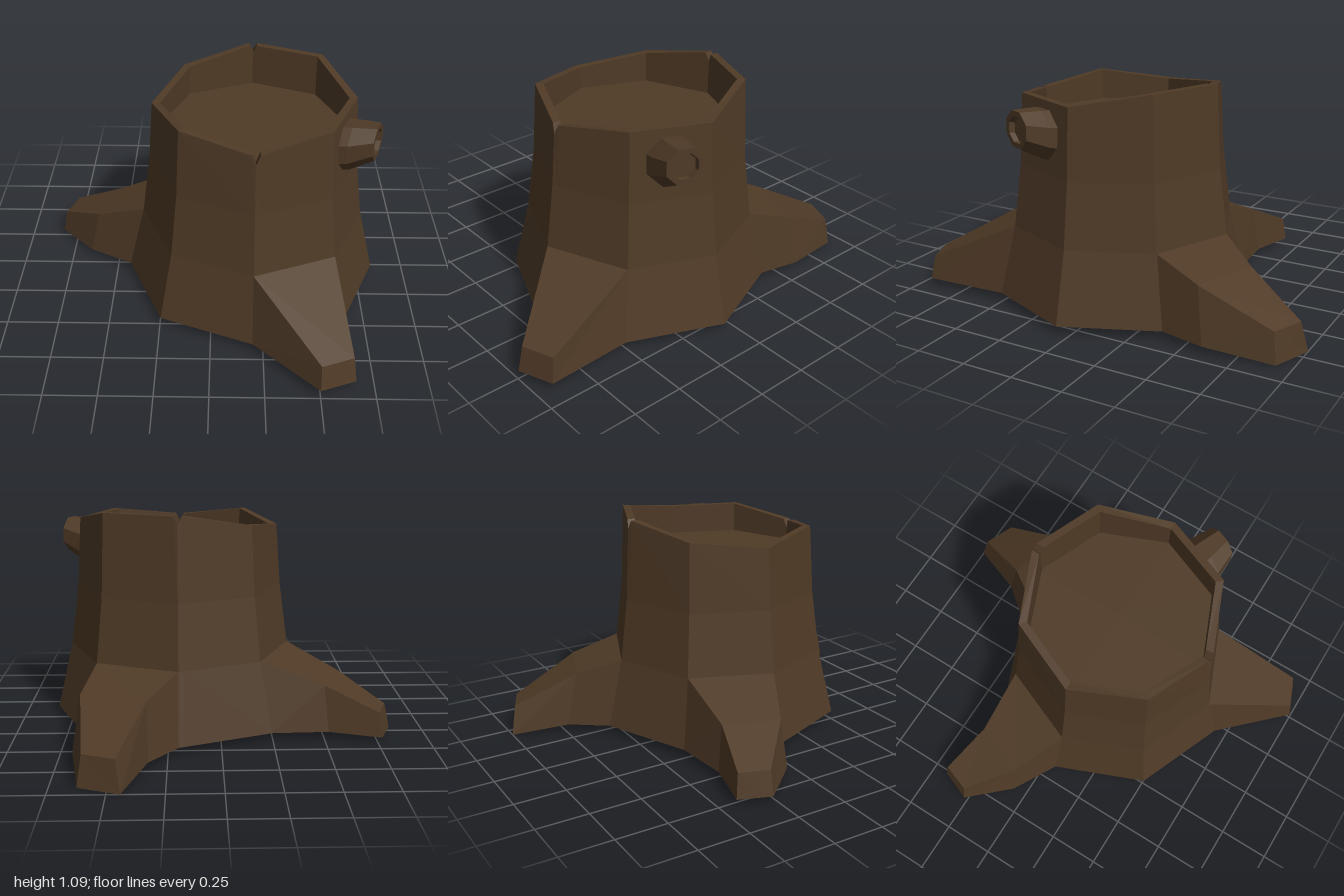
import * as THREE from 'three';

const CX = 0.2, CZ = 0.06; // trunk axis

// Flat-faced skin over a list of closed rings, each ring clockwise seen from the last one
function loft(rings) {
  const pos = [];
  const tri = (a, b, c) => {
    const n = b.clone().sub(a).cross(c.clone().sub(a));
    if (n.length() > 1e-8) pos.push(...a.toArray(), ...b.toArray(), ...c.toArray());
  };
  for (let i = 0; i < rings.length - 1; i++) {
    const n = rings[i].length;
    for (let j = 0; j < n; j++) {
      const k = (j + 1) % n;
      const a = rings[i][j], b = rings[i][k], c = rings[i + 1][k], d = rings[i + 1][j];
      tri(a, d, c);
      tri(a, c, b);
    }
  }
  const g = new THREE.BufferGeometry();
  g.setAttribute('position', new THREE.Float32BufferAttribute(pos, 3));
  g.computeVertexNormals();
  return g;
}

// Ring collapsed to its centre, used to close an end
function closing(ring) {
  const c = ring.reduce((s, p) => s.add(p), new THREE.Vector3()).divideScalar(ring.length);
  return ring.map(() => c);
}

// Octagon corner k at radius r and height y
function corner(k, r, y) {
  const a = k * Math.PI / 4;
  return new THREE.Vector3(CX + r * Math.cos(a), y, CZ + r * Math.sin(a));
}

// Hollow-topped trunk with uneven rim and two notches
function trunkGeometry() {
  const heights = [1.025, 1.03, 0.985, 1.03, 0.99, 1.03, 1.09, 1.09];
  const notch = { 2: 0.94, 6: 1.05 };
  const f = 0.058;
  const cols = [];
  heights.forEach((h, k) => {
    if (notch[k]) cols.push([k, k - 1, h], [k, k, notch[k]], [k, k + 1, h]);
    else cols.push([k, k, h]);
  });
  const ring = (r, y) => cols.map(([k, to, h]) =>
    corner(k, r, y ?? h).lerp(corner(to, r, y ?? h), f));
  const base = ring(0.63, 0.04), floor = ring(0.45, 0.88);
  const mid = new THREE.Vector3(CX, 0.88, CZ);
  const under = new THREE.Vector3(CX, 0.04, CZ);
  return loft([base.map(() => under), base, ring(0.55, 0.38), ring(0.51, 0.69),
    ring(0.49), ring(0.45), floor, floor.map(() => mid)]);
}

// Root growing from the trunk face between corners k and k + 1;
// each section is bottom, top, top, bottom
function rootGeometry(k, sections) {
  const start = [corner(k + 1, 0.63, 0.04), corner(k + 1, 0.55, 0.38),
    corner(k, 0.55, 0.38), corner(k, 0.63, 0.04)];
  const rings = [start, ...sections.map(s => s.map(p => new THREE.Vector3(...p)))];
  return loft([...rings, closing(rings[rings.length - 1])]);
}

// Short cut branch with a recessed end
function branchGeometry() {
  const ring = (x, y, z, r) => Array.from({ length: 8 }, (_, i) => {
    const t = (i + 0.5) * Math.PI / 4;
    const s = -r * Math.cos(t);
    return new THREE.Vector3(x + 0.383 * s, y + r * Math.sin(t), z - 0.924 * s);
  });
  const inner = ring(0.74, 0.91, 0.275, 0.06);
  return loft([ring(0.607, 0.87, 0.23, 0.125), ring(0.66, 0.88, 0.25, 0.12),
    ring(0.765, 0.915, 0.285, 0.09), ring(0.765, 0.915, 0.285, 0.065), inner, closing(inner)]);
}

export function createModel() {
  const group = new THREE.Group();
  const bark = new THREE.MeshStandardMaterial({ color: 0x4f3a26 });
  bark.name = 'bark brown';

  const add = (name, geometry) => {
    const mesh = new THREE.Mesh(geometry, bark);
    mesh.name = name;
    group.add(mesh);
  };

  add('trunk', trunkGeometry());
  add('frontRoot', rootGeometry(1, [
    [[0.5, 0.04, 0.995], [0.5, 0.16, 0.97], [0.65, 0.16, 0.91], [0.665, 0.04, 0.93]],
  ]));
  add('rightRoot', rootGeometry(4, [
    [[-0.52, 0.035, -0.36], [-0.5, 0.26, -0.33], [-0.6, 0.26, -0.07], [-0.65, 0.035, -0.065]],
    [[-0.77, 0.025, -0.42], [-0.755, 0.145, -0.405], [-0.805, 0.145, -0.265], [-0.83, 0.025, -0.265]],
  ]));
  add('backRoot', rootGeometry(6, [
    [[0.685, 0.035, -0.6], [0.645, 0.3, -0.56], [0.34, 0.3, -0.68], [0.335, 0.035, -0.735]],
    [[0.63, 0, -0.925], [0.61, 0.145, -0.905], [0.46, 0.145, -0.97], [0.44, 0, -1]],
  ]));
  add('branchStub', branchGeometry());
  return group;
}
